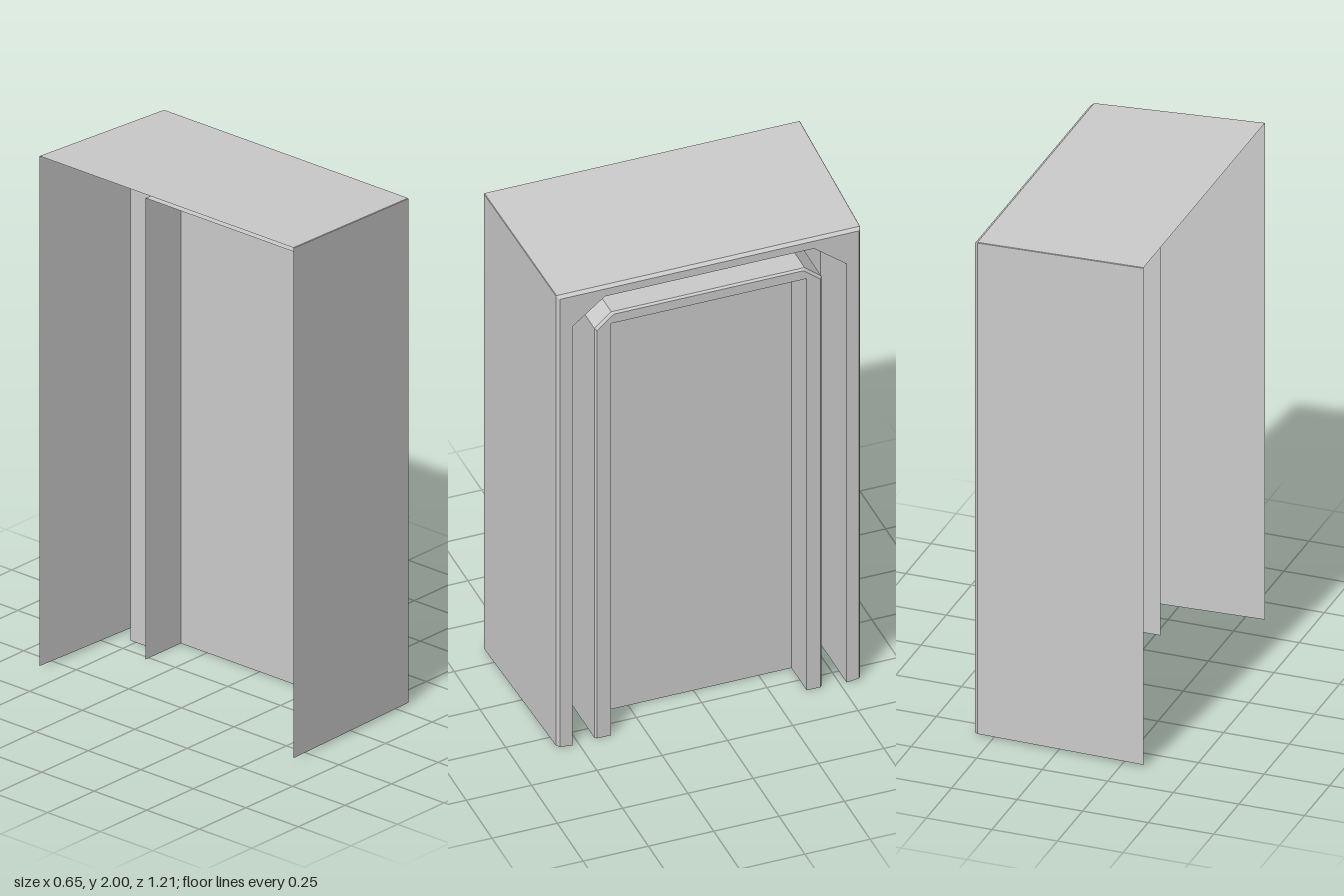
import * as THREE from 'three';

const material = new THREE.MeshStandardMaterial({ color: 0xcccccc, flatShading: true, side: THREE.DoubleSide });

// Upside-down U in the z/y plane at depth x: half width w, top h,
// corner cut cz wide and cy high, foot at y0.
function arch({ x, w, h, cz = 0.002, cy = 0.002, y0 = 0 }) {
  const half = [[w, y0], [w, h - cy], [w - cz, h]];
  const mirrored = half.map(([z, y]) => [-z, y]).reverse();
  return [...half, ...mirrored].map(([z, y]) => [x, y, z]);
}

// Skin a series of arches, from first to last.
function loft(name, stations) {
  const rows = stations.map(arch);
  const n = rows[0].length;
  const index = [];
  for (let i = 0; i < rows.length - 1; i++) {
    for (let j = 0; j < n - 1; j++) {
      const a = i * n + j, b = a + 1, c = a + n, d = c + 1;
      index.push(a, c, b, b, c, d);
    }
  }
  const indexed = new THREE.BufferGeometry();
  indexed.setAttribute('position', new THREE.Float32BufferAttribute(rows.flat(2), 3));
  indexed.setIndex(index);
  const geometry = indexed.toNonIndexed();
  geometry.computeVertexNormals();
  const mesh = new THREE.Mesh(geometry, material);
  mesh.name = name;
  return mesh;
}

export function createModel() {
  const group = new THREE.Group();
  group.name = 'doorway';

  // Tapered hood, open at the back and below, with a bevelled front edge
  const lip = { x: 0.325, w: 0.572, h: 1.962, y0: 0.005 };
  group.add(loft('outerShell', [
    { x: -0.33, w: 0.605, h: 2.0, y0: 0.01 },
    { x: 0.312, w: 0.582, h: 1.972, y0: 0.005 },
    lip,
  ]));

  // Flat rim around the opening, then the groove with its floor
  const opening = { w: 0.525, h: 1.93, cz: 0.125, cy: 0.1 };
  const frame = { w: 0.435, h: 1.845, cz: 0.065, cy: 0.055 };
  group.add(loft('rimAndGroove', [
    lip,
    { ...opening, x: 0.325 },
    { ...opening, x: 0.07 },
    { ...frame, x: 0.07 },
  ]));

  // Inner frame: outer wall, front face, and lining reaching behind the panel
  const lining = { w: 0.375, h: 1.8 };
  group.add(loft('innerFrame', [
    { ...frame, x: 0.07 },
    { ...frame, x: 0.31 },
    { ...frame, x: 0.318, w: 0.428, h: 1.838 },
    { ...lining, x: 0.318 },
    { ...lining, x: -0.02 },
  ]));

  // Recessed door panel
  const panel = new THREE.Mesh(new THREE.PlaneGeometry(0.75, 1.8), material);
  panel.name = 'doorPanel';
  panel.rotation.y = Math.PI / 2;
  panel.position.set(0.17, 0.9, 0);
  group.add(panel);

  return group;
}
